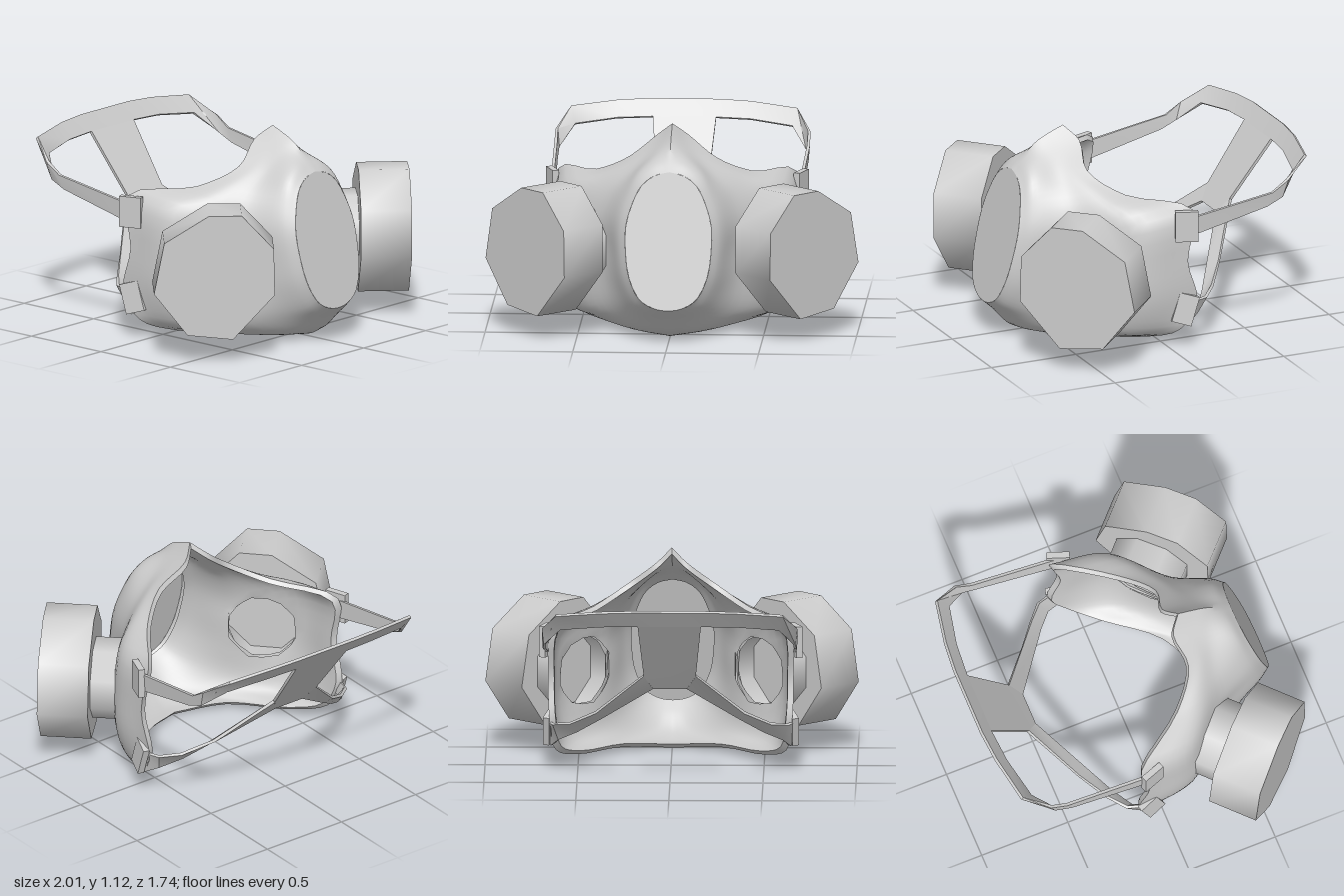
import * as THREE from 'three';
import { toCreasedNormals } from 'three/addons/utils/BufferGeometryUtils.js';

const V = (p) => new THREE.Vector3(...p);
const material = new THREE.MeshStandardMaterial({ color: 0xcccccc, side: THREE.DoubleSide });
const FILTER_ANGLE = 0.806;
const FILTER_POS = V([0.58, 0.48, 0.43]);

function mesh(name, geometry, parent) {
  const m = new THREE.Mesh(geometry, material);
  m.name = name;
  parent.add(m);
  return m;
}

function meshFrom(positions, index, crease) {
  const g = new THREE.BufferGeometry();
  g.setAttribute('position', new THREE.Float32BufferAttribute(positions, 3));
  g.setIndex(index);
  return toCreasedNormals(g, crease);
}

// Half cross-sections of the face piece, from the nose round the +x side to the chin
const plateZ = (y) => 0.65 + (0.925 - y) * 0.234;
const oval = [[0, 0.925], [0.08, 0.905], [0.15, 0.85], [0.2, 0.75], [0.23, 0.64], [0.23, 0.5],
  [0.21, 0.37], [0.16, 0.265], [0.11, 0.225], [0.05, 0.203], [0, 0.198]];
const frontRing = oval.map(([x, y]) => [x, y, plateZ(y)]);
const lipRing = oval.map(([x, y]) => [x * 1.18, 0.56 + (y - 0.56) * 1.15, plateZ(y) - 0.06]);
const cheekRing = [[0, 1.06, 0.5], [0.09, 0.995, 0.47], [0.19, 0.91, 0.46], [0.31, 0.79, 0.45], [0.37, 0.64, 0.45],
  [0.36, 0.47, 0.47], [0.36, 0.3, 0.47], [0.33, 0.17, 0.5], [0.24, 0.09, 0.56], [0.11, 0.055, 0.64], [0, 0.045, 0.665]];
const sideRing = [[0, 1.1, 0.42], [0.085, 1.03, 0.37], [0.215, 0.93, 0.38], [0.4, 0.83, 0.3], [0.6, 0.73, 0.18],
  [0.63, 0.47, 0.18], [0.62, 0.26, 0.18], [0.55, 0.1, 0.2], [0.4, 0.055, 0.3], [0.2, 0.03, 0.5], [0, 0.012, 0.58]];
const rimRing = [[0, 1.13, 0.345], [0.08, 1.06, 0.285], [0.235, 0.94, 0.31], [0.42, 0.84, 0.17], [0.64, 0.78, -0.13],
  [0.66, 0.5, -0.09], [0.65, 0.26, -0.15], [0.62, 0.1, -0.06], [0.5, 0.045, 0.1], [0.27, 0.03, 0.38], [0, 0.005, 0.5]];

// Face piece: outer skin, rolled over the rim into an inner skin, with a hole for each filter
function facePiece() {
  const half = 40, cols = half * 2, rows = 25;
  const rings = [frontRing, lipRing, cheekRing, sideRing, rimRing].map((r) => new THREE.CatmullRomCurve3(r.map(V)));
  const halfCols = [];
  for (let u = 0; u <= half; u++) {
    const line = new THREE.CatmullRomCurve3(rings.map((r) => r.getPoint(u / half)));
    halfCols.push(line.getPoints(rows - 1));
  }
  const center = V([0, 0.45, 0.1]);
  const positions = [], inHole = [], index = [];
  const cos = Math.cos(FILTER_ANGLE), sin = Math.sin(FILTER_ANGLE), hole = 0.18;
  for (let r = 0; r < rows * 2; r++) {
    for (let u = 0; u < cols; u++) {
      const p = halfCols[u <= half ? u : cols - u][r < rows ? r : 2 * rows - 1 - r].clone();
      if (r >= rows) p.sub(center).multiplyScalar(0.95).add(center);
      // octagonal distance from the filter axis; inside points move to the hole's edge
      const q = p.clone().sub(FILTER_POS);
      const t = q.x * cos - q.z * sin, y = q.y + 0.02, depth = q.x * sin + q.z * cos;
      const d = Math.max(Math.abs(t), Math.abs(y), (Math.abs(t) + Math.abs(y)) * Math.SQRT1_2);
      const inside = d < hole && depth > -0.3;
      if (inside) {
        const k = hole / Math.max(d, 1e-4) - 1;
        p.add(V([t * k * cos, y * k, -t * k * sin]));
      }
      inHole.push(inside);
      positions.push(u <= half ? p.x : -p.x, p.y, p.z);
    }
  }
  const tri = (a, b, c) => { if (!(inHole[a] && inHole[b] && inHole[c])) index.push(a, b, c); };
  for (let r = 0; r < rows * 2 - 1; r++) {
    for (let u = 0; u < cols; u++) {
      const a = r * cols + u, b = r * cols + (u + 1) % cols;
      tri(a, b, a + cols);
      tri(b, b + cols, a + cols);
    }
  }
  return meshFrom(positions, index, 0.8);
}

// Flat oval plate closing the front
function frontPlate() {
  const pts = new THREE.CatmullRomCurve3(frontRing.map(V)).getPoints(20).map((p) => new THREE.Vector2(p.x, p.y));
  const mirrored = pts.slice(1, -1).reverse().map((p) => new THREE.Vector2(-p.x, p.y));
  const g = new THREE.ShapeGeometry(new THREE.Shape([...pts, ...mirrored]));
  const pos = g.attributes.position;
  for (let i = 0; i < pos.count; i++) pos.setZ(i, plateZ(pos.getY(i)));
  g.computeVertexNormals();
  return g;
}

// Thin band between two edge lines
function ribbon(edgeA, edgeB, thickness = 0.016) {
  const positions = [], index = [], n = edgeA.length;
  const A = edgeA.map(V), B = edgeB.map(V);
  const mid = A.map((a, i) => a.clone().add(B[i]));
  for (let i = 0; i < n; i++) {
    const along = mid[Math.min(i + 1, n - 1)].clone().sub(mid[Math.max(i - 1, 0)]);
    const off = along.cross(B[i].clone().sub(A[i])).normalize().multiplyScalar(thickness / 2);
    for (const [p, s] of [[A[i], 1], [B[i], 1], [B[i], -1], [A[i], -1]]) {
      positions.push(...p.clone().addScaledVector(off, s).toArray());
    }
  }
  for (let i = 0; i < n - 1; i++) {
    for (let k = 0; k < 4; k++) {
      const a = i * 4 + k, b = i * 4 + (k + 1) % 4;
      index.push(a, a + 4, b, b, a + 4, b + 4);
    }
  }
  const e = (n - 1) * 4;
  index.push(0, 1, 2, 0, 2, 3, e, e + 2, e + 1, e, e + 3, e + 2);
  return meshFrom(positions, index, 0.6);
}

// Filter canister with its connector, in a frame whose z runs out along the filter axis
const canisterOutline = [[-0.03, 0.34], [0.147, 0.34], [0.32, 0.155], [0.325, -0.1], [0.1, -0.345],
  [-0.145, -0.32], [-0.325, -0.09], [-0.27, 0.19]];

function filter(side) {
  const group = new THREE.Group();
  group.name = side > 0 ? 'leftFilter' : 'rightFilter';
  group.position.set(side * FILTER_POS.x, FILTER_POS.y, FILTER_POS.z);
  group.rotation.y = side * FILTER_ANGLE;
  const shape = new THREE.Shape(canisterOutline.map(([t, y]) => new THREE.Vector2(-side * t, y)));
  const body = new THREE.ExtrudeGeometry(shape, { depth: 0.275, bevelEnabled: false });
  mesh('filterCanister', toCreasedNormals(body, 1.05), group);
  const tube = new THREE.CylinderGeometry(0.22, 0.22, 0.15, 8, 1, true, Math.PI / 8);
  tube.rotateX(Math.PI / 2).translate(0, -0.02, -0.07);
  mesh('filterConnector', tube, group);
  return group;
}

const upperTop = [[0.67, 0.745, -0.08], [0.68, 0.825, -0.58], [0.68, 0.885, -0.67], [0.61, 0.98, -0.81],
  [0.36, 1.005, -0.86], [0.19, 1.012, -0.875], [0, 1.012, -0.875]];
const upperBottom = [[0.665, 0.64, -0.08], [0.675, 0.75, -0.55], [0.67, 0.79, -0.64], [0.585, 0.895, -0.75],
  [0.36, 0.92, -0.8], [0.17, 0.925, -0.815], [0, 0.925, -0.815]];
const lowerTop = [[0.14, 0.61, -0.585], [0.4, 0.37, -0.395], [0.54, 0.29, -0.29], [0.63, 0.27, -0.21], [0.66, 0.265, -0.11]];
const lowerBottom = [[0.09, 0.53, -0.525], [0.37, 0.33, -0.335], [0.5, 0.24, -0.25], [0.6, 0.18, -0.17], [0.64, 0.13, -0.09]];
const panelEdge = [[0.17, 0.925, -0.815], [0.14, 0.61, -0.585], [0.09, 0.53, -0.525]];
const flip = (pts) => pts.map(([x, y, z]) => [-x, y, z]);

export function createModel() {
  const model = new THREE.Group();
  model.name = 'respiratorMask';
  mesh('facePiece', facePiece(), model);
  mesh('frontPlate', frontPlate(), model);

  // Head harness: the centre panel joins the upper band to the two lower straps
  mesh('rearPanel', ribbon(panelEdge, flip(panelEdge)), model);
  for (const side of [1, -1]) {
    const name = side > 0 ? 'left' : 'right';
    const band = (a, b) => (side > 0 ? ribbon(a, b) : ribbon(flip(b), flip(a)));
    model.add(filter(side));
    mesh(name + 'UpperStrap', band(upperTop, upperBottom), model);
    mesh(name + 'LowerStrap', band(lowerTop, lowerBottom), model);

    // Strap clips on the rim
    const upperClip = mesh(name + 'UpperClip', new THREE.BoxGeometry(0.035, 0.17, 0.125), model);
    upperClip.position.set(side * 0.67, 0.705, -0.078);
    upperClip.rotation.y = side * -0.35;
    const lowerClip = mesh(name + 'LowerClip', new THREE.BoxGeometry(0.035, 0.165, 0.11), model);
    lowerClip.position.set(side * 0.655, 0.228, -0.077);
    lowerClip.rotation.set(-0.31, side * -0.3, 0);
  }
  return model;
}
